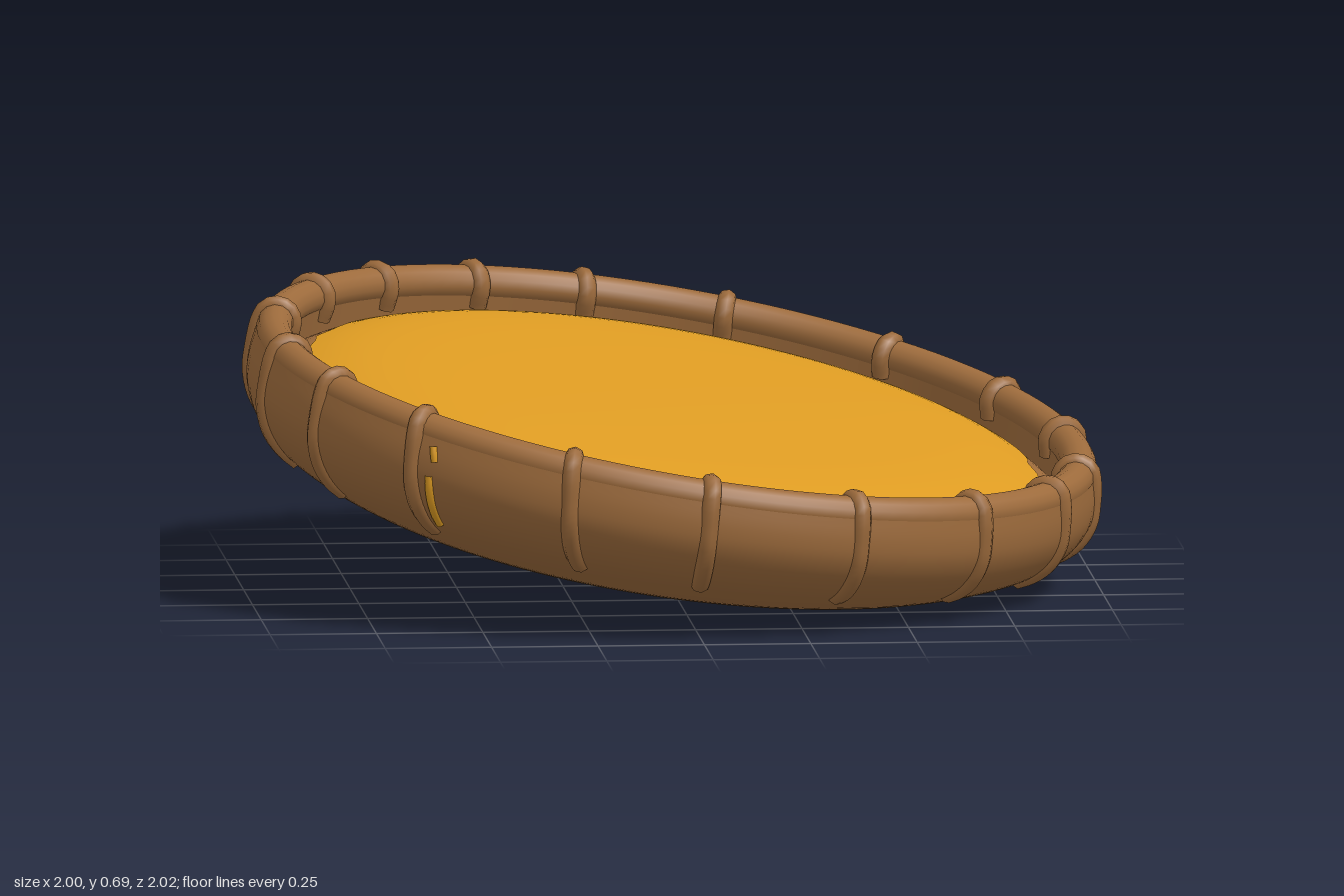
import * as THREE from 'three';

const brown = new THREE.MeshStandardMaterial({ color: 0x9d6b3c });
brown.name = 'wickerBrown';
const gold = new THREE.MeshStandardMaterial({ color: 0xdd9b22 });
gold.name = 'grainGold';
const grey = new THREE.MeshStandardMaterial({ color: 0xe6e6e6 });
grey.name = 'baseGrey';

const RIM_RADIUS = 0.957;
const RIM_HEIGHT = 0.355;

// Angles of the bindings around the rim, in degrees from +x towards +z
const BINDINGS = [10, 27, 47, 68, 89.5, 109, 133, 152, 169, 190, 209, 226, 243.5, 260.5, 281, 306, 328, 348];

const rad = THREE.MathUtils.degToRad;
const v2 = (pts) => pts.map(([r, h]) => new THREE.Vector2(r, h));

function part(name, geometry, material, parent) {
  const mesh = new THREE.Mesh(geometry, material);
  mesh.name = name;
  parent.add(mesh);
  return mesh;
}

// The bowl is a little deeper on its raised side: skew everything below the rim
function sag(geometry) {
  const p = geometry.attributes.position;
  for (let i = 0; i < p.count; i++) {
    const [x, y, z] = [p.getX(i), p.getY(i), p.getZ(i)];
    const f = Math.max(0, 1 - y / RIM_HEIGHT);
    p.setXYZ(i, x + 0.013 * f, y + 0.03 * f * (0.85 * x + 0.525 * z), z + 0.008 * f);
  }
  return geometry;
}

// Tube that follows a (radius, height) profile at an angle, twisting a little on the way
function wallTube(profile, angle, twist, radius) {
  const pts = profile.map(([r, h], i) => {
    const a = angle + twist * (i / (profile.length - 1) - 0.4);
    return new THREE.Vector3(r * Math.cos(a), h, r * Math.sin(a));
  });
  return sag(new THREE.TubeGeometry(new THREE.CatmullRomCurve3(pts), 28, radius, 8, false));
}

// Height of the domed filling at a given radius
const domeHeight = (r) => 0.377 - 0.03 * r * r - 0.06 * Math.pow(r / 0.9, 8);

// Ring or cap of the dome, listed from the outer radius inwards
function domeProfile(outer, inner, steps) {
  return Array.from({ length: steps + 1 }, (_, i) => {
    const r = THREE.MathUtils.lerp(outer, inner, i / steps);
    return new THREE.Vector2(r, domeHeight(r));
  });
}

export function createModel() {
  const model = new THREE.Group();
  model.name = 'tiltedBasket';
  const basket = new THREE.Group();
  basket.name = 'basket';
  model.add(basket);

  // Bowl wall, running flush into the rim
  const outside = new THREE.SplineCurve(v2([
    [0.54, 0], [0.65, 0.022], [0.76, 0.053], [0.86, 0.093], [0.935, 0.137],
    [0.982, 0.188], [1.006, 0.245], [1.008, 0.3], [0.998, 0.355],
  ])).getPoints(32);
  part('bowl', sag(new THREE.LatheGeometry(outside, 108)), brown, basket);

  // Inner wall below the rim
  part('innerWall', new THREE.LatheGeometry(v2([[0.922, 0.35], [0.926, 0.22]]), 108), brown, basket);

  // Lip around the bottom opening
  part('bottomLip', sag(new THREE.LatheGeometry(v2([[0.54, 0.03], [0.54, 0]]), 96)), brown, basket);

  // Recessed bottom
  const bottom = new THREE.CircleGeometry(0.545, 72).rotateX(Math.PI / 2).translate(0, 0.025, 0);
  part('bottomDisc', sag(bottom), grey, basket);

  // Round rim
  const rim = new THREE.TorusGeometry(RIM_RADIUS, 0.042, 14, 108).rotateX(Math.PI / 2);
  part('rim', rim, brown, basket).position.y = RIM_HEIGHT;

  // Brown margin of the dome, just under the filling
  const margin = new THREE.LatheGeometry(domeProfile(0.935, 0.78, 8), 108);
  part('fillingMargin', margin, brown, basket).position.y = -0.004;

  // Domed filling with an uneven outline
  const filling = new THREE.LatheGeometry(domeProfile(0.865, 0, 28), 180);
  const p = filling.attributes.position;
  for (let i = 0; i < p.count; i++) {
    const r = Math.hypot(p.getX(i), p.getZ(i));
    const a = Math.atan2(p.getZ(i), p.getX(i));
    const wave = Math.sin(17 * a) + 0.7 * Math.sin(29 * a + 1) + 0.6 * Math.sin(47 * a + 2);
    const s = 1 + 0.006 * wave * THREE.MathUtils.smoothstep(r, 0.78, 0.865);
    p.setXYZ(i, p.getX(i) * s, domeHeight(r * s), p.getZ(i) * s);
  }
  part('filling', filling, gold, basket);

  // Bindings wrapped over the rim and sinking into the wall
  const wrap = [
    [0.928, 0.31], [0.919, 0.355], [0.931, 0.381], [0.957, 0.391], [0.982, 0.381],
    [0.994, 0.35], [0.999, 0.295], [0.997, 0.24], [0.975, 0.187], [0.938, 0.149], [0.9, 0.126],
  ];
  BINDINGS.forEach((deg, k) => {
    const twist = deg > 100 && deg < 140 ? -0.06 : -0.02;
    part('binding' + (k + 1), wallTube(wrap, rad(deg), twist, 0.023), brown, basket);
  });

  // Thin slivers of filling showing beside one binding
  const slivers = [
    { radius: 0.009, path: [[1.006, 0.335], [1.007, 0.318], [1.006, 0.3]] },
    { radius: 0.012, path: [[1.003, 0.265], [1.001, 0.24], [0.988, 0.205], [0.964, 0.169], [0.944, 0.148]] },
  ];
  slivers.forEach(({ radius, path }, i) => {
    part('fillingSliver' + (i + 1), wallTube(path, rad(128.9), -0.01, radius), gold, basket);
  });

  // The whole basket leans to one side
  const axis = new THREE.Vector3(0.17, 1, 0.105).normalize();
  basket.quaternion.setFromUnitVectors(new THREE.Vector3(0, 1, 0), axis);
  basket.position.set(-0.043, 0.091, -0.028);
  return model;
}
